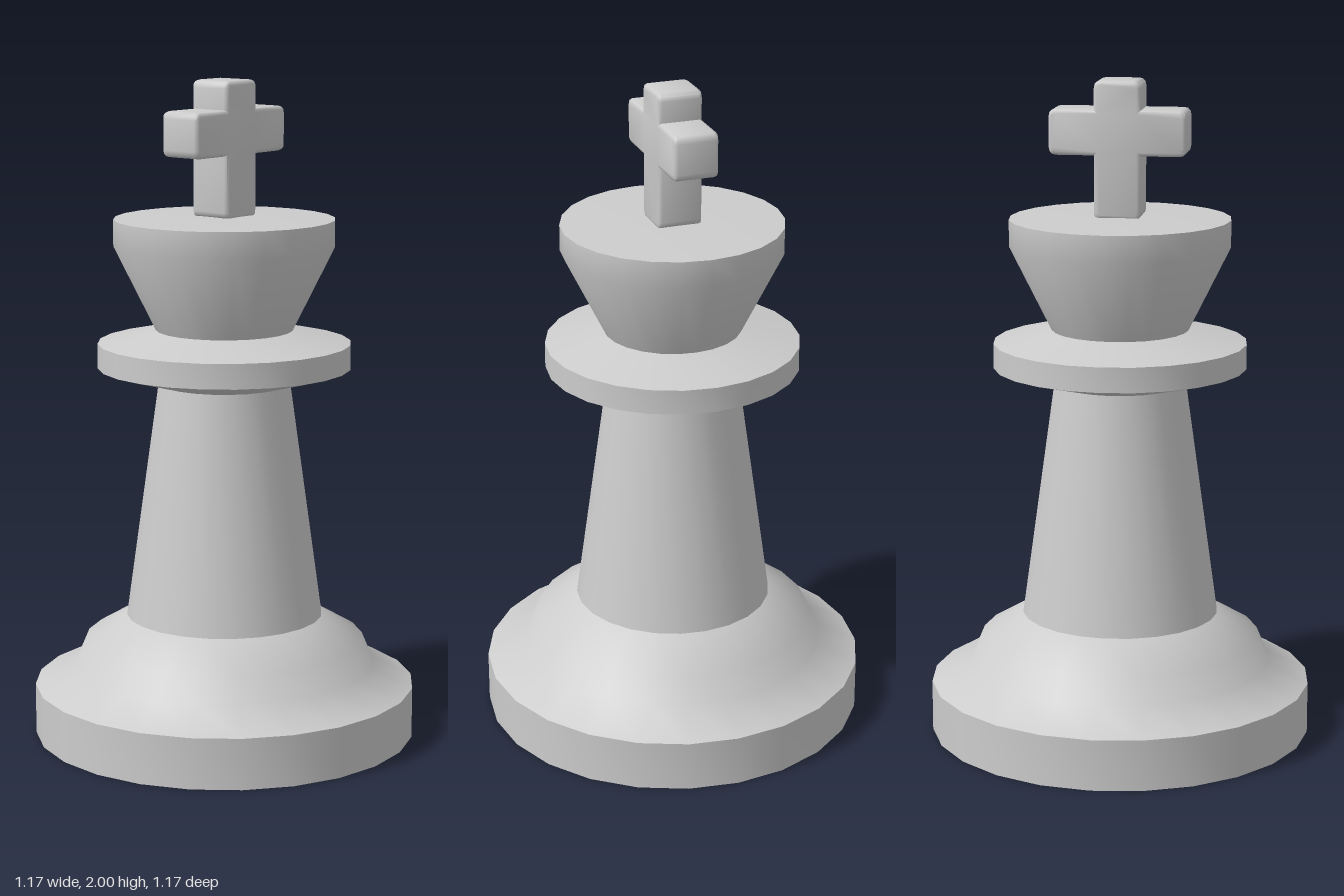
import * as THREE from 'three';
import { toCreasedNormals } from 'three/addons/utils/BufferGeometryUtils.js';

const SIDES = 24;

// Closed cross outline with every outer corner rounded by r
function crossShape(halfPost, halfArm, bottom, armLow, armHigh, top, r) {
  const s = new THREE.Shape();
  s.moveTo(-halfPost + r, bottom);
  s.lineTo(halfPost - r, bottom);
  s.quadraticCurveTo(halfPost, bottom, halfPost, bottom + r);
  s.lineTo(halfPost, armLow);
  s.lineTo(halfArm - r, armLow);
  s.quadraticCurveTo(halfArm, armLow, halfArm, armLow + r);
  s.lineTo(halfArm, armHigh - r);
  s.quadraticCurveTo(halfArm, armHigh, halfArm - r, armHigh);
  s.lineTo(halfPost, armHigh);
  s.lineTo(halfPost, top - r);
  s.quadraticCurveTo(halfPost, top, halfPost - r, top);
  s.lineTo(-halfPost + r, top);
  s.quadraticCurveTo(-halfPost, top, -halfPost, top - r);
  s.lineTo(-halfPost, armHigh);
  s.lineTo(-halfArm + r, armHigh);
  s.quadraticCurveTo(-halfArm, armHigh, -halfArm, armHigh - r);
  s.lineTo(-halfArm, armLow + r);
  s.quadraticCurveTo(-halfArm, armLow, -halfArm + r, armLow);
  s.lineTo(-halfPost, armLow);
  s.lineTo(-halfPost, bottom + r);
  s.quadraticCurveTo(-halfPost, bottom, -halfPost + r, bottom);
  return s;
}

export function createModel() {
  const group = new THREE.Group();
  group.name = 'chessKing';
  const grey = new THREE.MeshStandardMaterial({ color: 0xcccccc });
  grey.name = 'light grey';

  const add = (name, geometry, crease) => {
    const mesh = new THREE.Mesh(toCreasedNormals(geometry, crease), grey);
    mesh.name = name;
    group.add(mesh);
  };
  const turned = (name, profile) => add(name, new THREE.LatheGeometry(
    profile.map(([x, y]) => new THREE.Vector2(x, y)), SIDES), 0.78);

  // Turned parts, from the floor up
  turned('base', [[0, 0], [0.583, 0], [0.583, 0.155], [0.46, 0.217], [0.427, 0.295], [0.3, 0.37]]);
  turned('stem', [[0.3, 0.37], [0.2, 1.088]]);
  turned('collar', [[0.2, 1.088], [0.383, 1.138], [0.383, 1.213], [0.207, 1.252]]);
  turned('head', [[0.207, 1.252], [0.333, 1.507], [0.333, 1.587], [0, 1.6]]);

  // Cross with softened edges
  const bevel = 0.012;
  const cross = new THREE.ExtrudeGeometry(
    crossShape(0.07, 0.205, 1.59, 1.78, 1.915, 2, 0.022), {
      depth: 0.136 - 2 * bevel, curveSegments: 3, bevelEnabled: true,
      bevelThickness: bevel, bevelSize: bevel, bevelOffset: -bevel, bevelSegments: 2,
    });
  cross.translate(0, 0, -0.068 + bevel);
  add('cross', cross, 0.8);

  return group;
}
